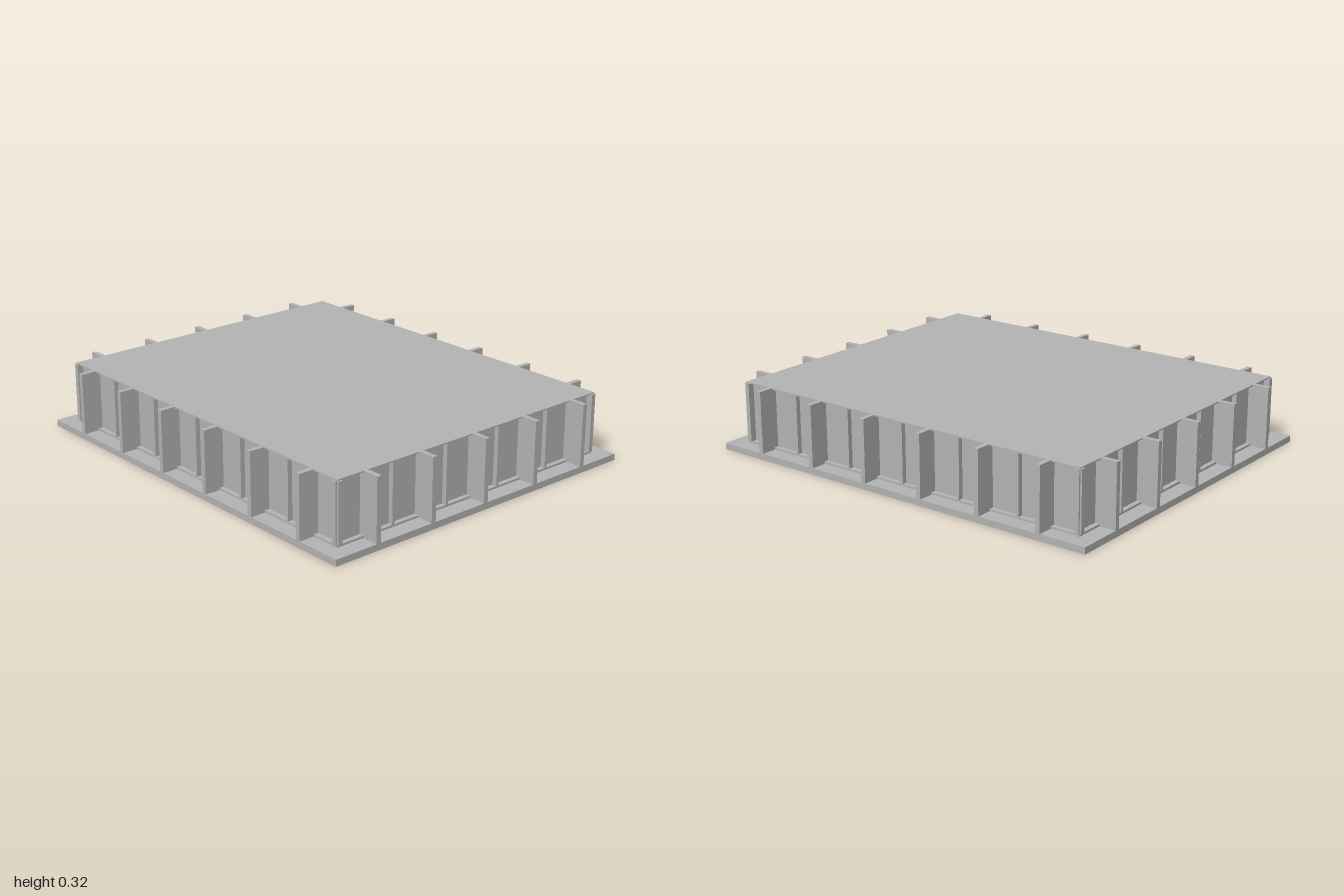
import * as THREE from 'three';

export function createModel() {
  const model = new THREE.Group();
  model.name = 'pavilion';
  const grey = new THREE.MeshStandardMaterial({ color: 0xb4b4b4 });
  grey.name = 'concrete grey';

  const W = 0.922, D = 0.756;      // half size of the walls
  const EX = 1, EZ = 0.83;         // half size of the base
  const BASE = 0.03, SILL = 0.04, EAVE = 0.314, TOP = 0.32;
  const RECESS = 0.022;            // depth of the window bays
  const FIN = 0.023, MULLION = 0.012;

  // box given by its lower and upper corners
  function block(name, x0, x1, y0, y1, z0, z1, parent = model) {
    const mesh = new THREE.Mesh(new THREE.BoxGeometry(x1 - x0, y1 - y0, z1 - z0), grey);
    mesh.position.set((x0 + x1) / 2, (y0 + y1) / 2, (z0 + z1) / 2);
    mesh.name = name;
    parent.add(mesh);
  }

  block('basePlate', -EX, EX, 0, BASE, -EZ, EZ);
  block('sill', -W, W, BASE, SILL, -D, D);
  block('windowCore', -W + RECESS, W - RECESS, SILL, EAVE, -D + RECESS, D - RECESS);
  block('roof', -W, W, EAVE, TOP, -D, D);

  // square posts closing the four corners
  for (const sx of [-1, 1]) for (const sz of [-1, 1]) {
    const x = sx * (W - RECESS / 2), z = sz * (D - RECESS / 2), h = RECESS / 2;
    block('cornerPost', x - h, x + h, SILL, EAVE, z - h, z + h);
  }

  // one facade facing +z: fins at every second bay line, thin mullions between
  function facade(name, angle, wall, edge, fins, spacing) {
    const side = new THREE.Group();
    side.name = name;
    for (let i = 0; i < fins; i++) {
      const x = (i - (fins - 1) / 2) * spacing;
      block('finPost', x - FIN / 2, x + FIN / 2, SILL, EAVE, wall - RECESS, wall, side);
      block('fin', x - FIN / 2, x + FIN / 2, BASE, TOP, wall, edge, side);
    }
    for (let i = 0; i <= fins; i++) {
      const x = (i - fins / 2) * spacing;
      block('mullion', x - MULLION / 2, x + MULLION / 2, SILL, EAVE, wall - RECESS, wall, side);
    }
    side.rotation.y = angle;
    model.add(side);
  }

  facade('frontFacade', 0, D, EZ, 6, 0.308);
  facade('backFacade', Math.PI, D, EZ, 6, 0.308);
  facade('leftFacade', Math.PI / 2, W, EX, 5, 0.303);
  facade('rightFacade', -Math.PI / 2, W, EX, 5, 0.303);

  return model;
}
